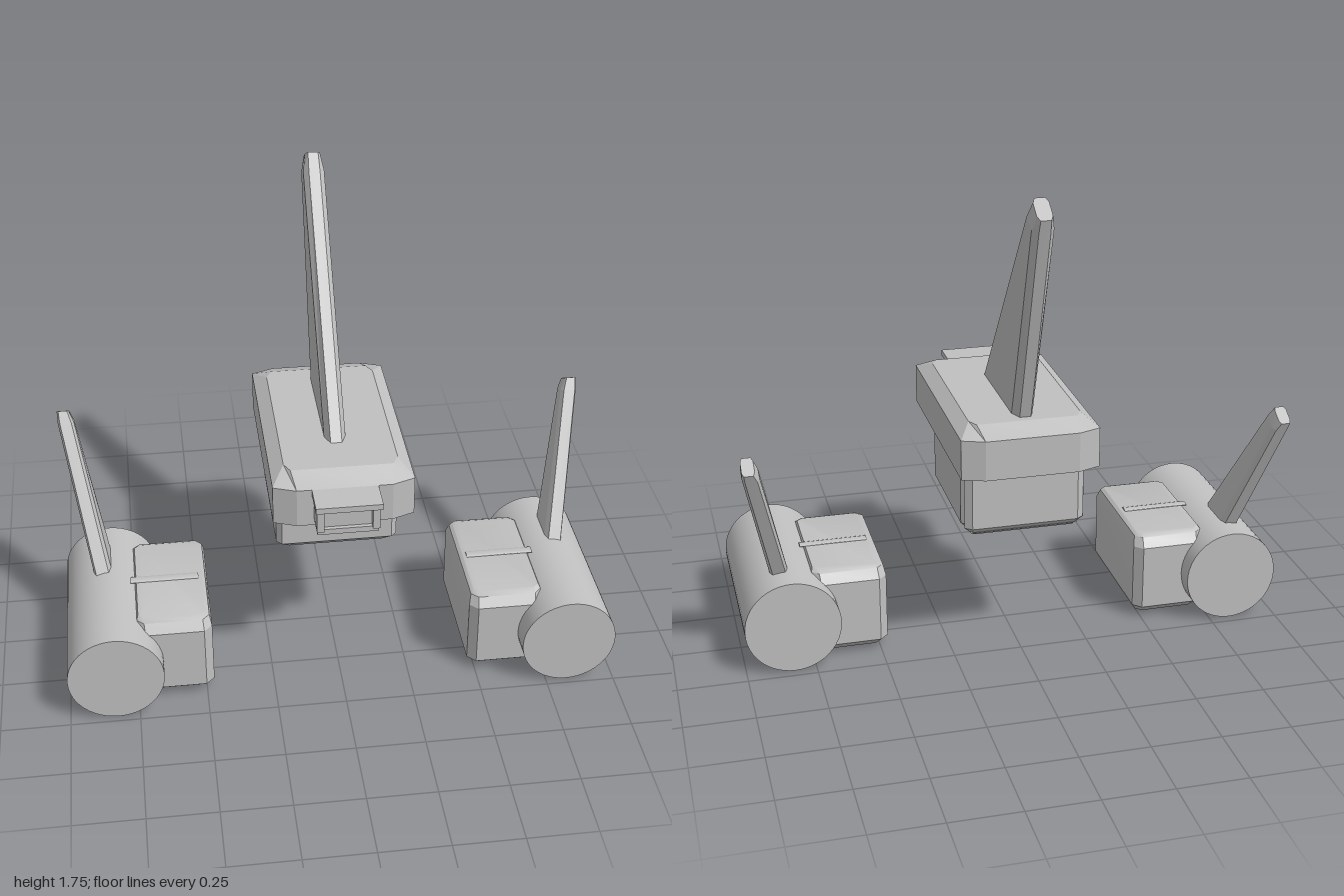
import * as THREE from 'three';
import { toCreasedNormals } from 'three/addons/utils/BufferGeometryUtils.js';

const grey = new THREE.MeshStandardMaterial({ color: 0xc0c0c0 });
grey.name = 'light grey';

function part(parent, name, geometry, x = 0, y = 0, z = 0) {
  const mesh = new THREE.Mesh(geometry, grey);
  mesh.name = name;
  mesh.position.set(x, y, z);
  parent.add(mesh);
  return mesh;
}

// Closed solid through convex rings of equal point count, always facing outwards
function loft(rings, crease = 0.3) {
  const n = rings[0].length;
  const tris = [];
  for (let r = 0; r < rings.length - 1; r++) {
    for (let i = 0; i < n; i++) {
      const j = (i + 1) % n;
      const [a, b, c, d] = [rings[r][i], rings[r][j], rings[r + 1][j], rings[r + 1][i]];
      tris.push([a, b, c], [a, c, d]);
    }
  }
  const last = rings[rings.length - 1];
  for (let i = 1; i < n - 1; i++) {
    tris.push([rings[0][0], rings[0][i + 1], rings[0][i]], [last[0], last[i], last[i + 1]]);
  }
  let volume = 0;
  for (const [a, b, c] of tris) volume += a.dot(b.clone().cross(c));
  if (volume < 0) tris.forEach((t) => t.reverse());
  const g = new THREE.BufferGeometry().setFromPoints(tris.flat());
  return toCreasedNormals(g, crease);
}

// Horizontal rectangle with cut corners (cx along x, cz along z)
function ring(y, x0, x1, z0, z1, cx, cz = cx) {
  return [
    [x0 + cx, z0], [x1 - cx, z0], [x1, z0 + cz], [x1, z1 - cz],
    [x1 - cx, z1], [x0 + cx, z1], [x0, z1 - cz], [x0, z0 + cz],
  ].map(([x, z]) => new THREE.Vector3(x, y, z));
}

// Blade section: x centre, front and back edge as [z, y], half width, half width of the edges, bevel depth
function bladeRing(side, { x, front, back, w, e, bevel }) {
  const f = new THREE.Vector2(...front);
  const b = new THREE.Vector2(...back);
  const t = bevel / f.distanceTo(b);
  return [[-e, 0], [e, 0], [w, t], [w, 1 - t], [e, 1], [-e, 1], [-w, 1 - t], [-w, t]].map(([dx, k]) => {
    const p = f.clone().lerp(b, k);
    return new THREE.Vector3(side * (x + dx), p.y, p.x);
  });
}

function blade(side, sections) {
  return loft(sections.map((s) => bladeRing(side, s)), 0.1);
}

function buildCentre() {
  const g = new THREE.Group();
  g.name = 'centreUnit';

  // Wide bevelled deck
  part(g, 'deck', loft([
    ring(0.718, -0.215, 0.215, -0.32, 0.36, 0.05),
    ring(0.752, -0.247, 0.247, -0.405, 0.43, 0.08, 0.03),
    ring(0.897, -0.247, 0.247, -0.405, 0.43, 0.08, 0.03),
    ring(0.93, -0.2, 0.2, -0.325, 0.35, 0.02, 0.04),
  ]));

  // Lower housing with a separate rear panel behind a narrow seam
  part(g, 'lowerHousing', loft([
    ring(0.492, -0.185, 0.185, -0.25, 0.185, 0.015),
    ring(0.525, -0.22, 0.22, -0.258, 0.22, 0.02),
    ring(0.74, -0.22, 0.22, -0.258, 0.22, 0.02),
  ]));
  part(g, 'seamCore', new THREE.BoxGeometry(0.39, 0.22, 0.06), 0, 0.615, -0.26);
  part(g, 'rearPanel', loft([
    ring(0.495, -0.185, 0.185, -0.28, -0.267, 0.006),
    ring(0.525, -0.217, 0.217, -0.305, -0.267, 0.025, 0.02),
    ring(0.74, -0.217, 0.217, -0.305, -0.267, 0.025, 0.02),
  ]));

  // Swept central fin
  part(g, 'centreFin', blade(1, [
    { x: 0, front: [0.22, 0.9], back: [-0.285, 0.9], w: 0.038, e: 0.02, bevel: 0.045 },
    { x: 0, front: [-0.417, 1.695], back: [-0.525, 1.645], w: 0.038, e: 0.02, bevel: 0.025 },
    { x: 0, front: [-0.46, 1.75], back: [-0.542, 1.695], w: 0.027, e: 0.018, bevel: 0.02 },
  ]));

  // Nose box with a tapered recess under a visor
  const nose = new THREE.Group();
  nose.name = 'noseBox';
  g.add(nose);
  part(nose, 'visor', new THREE.BoxGeometry(0.23, 0.022, 0.15), 0, 0.886, 0.47);
  part(nose, 'sill', new THREE.BoxGeometry(0.212, 0.021, 0.11), 0, 0.7755, 0.455);
  for (const s of [-1, 1]) {
    part(nose, 'cheek', new THREE.BoxGeometry(0.025, 0.092, 0.12), s * 0.096, 0.83, 0.463);
  }
  part(nose, 'recessPanel', new THREE.BoxGeometry(0.18, 0.092, 0.07), 0, 0.83, 0.46);
  return g;
}

function buildSide(side) {
  const g = new THREE.Group();
  g.name = side > 0 ? 'leftUnit' : 'rightUnit';

  // Drum lying along z
  const drum = new THREE.CylinderGeometry(0.173, 0.173, 0.69, 48).rotateX(Math.PI / 2);
  part(g, 'drum', drum, side * 0.827, 0.173, 0.13);

  // Bevelled pod on the inner side
  const podRing = (y, x0, x1, z0, z1, c) => ring(y, Math.min(side * x0, side * x1), Math.max(side * x0, side * x1), z0, z1, c);
  part(g, 'pod', loft([
    podRing(0.01, 0.495, 0.72, -0.105, 0.35, 0.02),
    podRing(0.045, 0.472, 0.742, -0.145, 0.39, 0.03),
    podRing(0.29, 0.472, 0.742, -0.145, 0.39, 0.03),
    podRing(0.325, 0.48, 0.74, -0.12, 0.365, 0.025),
    podRing(0.335, 0.492, 0.735, -0.1, 0.342, 0.02),
  ], 0.5));

  // Low rib across the pod
  const rib = new THREE.CylinderGeometry(0.018, 0.018, 0.25, 12).rotateZ(Math.PI / 2).scale(1, 0.3, 1);
  part(g, 'podRib', rib, side * 0.63, 0.335, 0.115);

  // Swept, outward leaning antenna
  part(g, 'antenna', blade(side, [
    { x: 0.838, front: [0.13, 0.25], back: [-0.073, 0.25], w: 0.034, e: 0.024, bevel: 0.03 },
    { x: 0.954, front: [-0.228, 0.82], back: [-0.308, 0.79], w: 0.03, e: 0.021, bevel: 0.02 },
    { x: 0.963, front: [-0.255, 0.86], back: [-0.322, 0.82], w: 0.022, e: 0.016, bevel: 0.015 },
  ]));
  return g;
}

export function createModel() {
  const model = new THREE.Group();
  model.name = 'model';
  model.add(buildCentre(), buildSide(1), buildSide(-1));
  return model;
}
